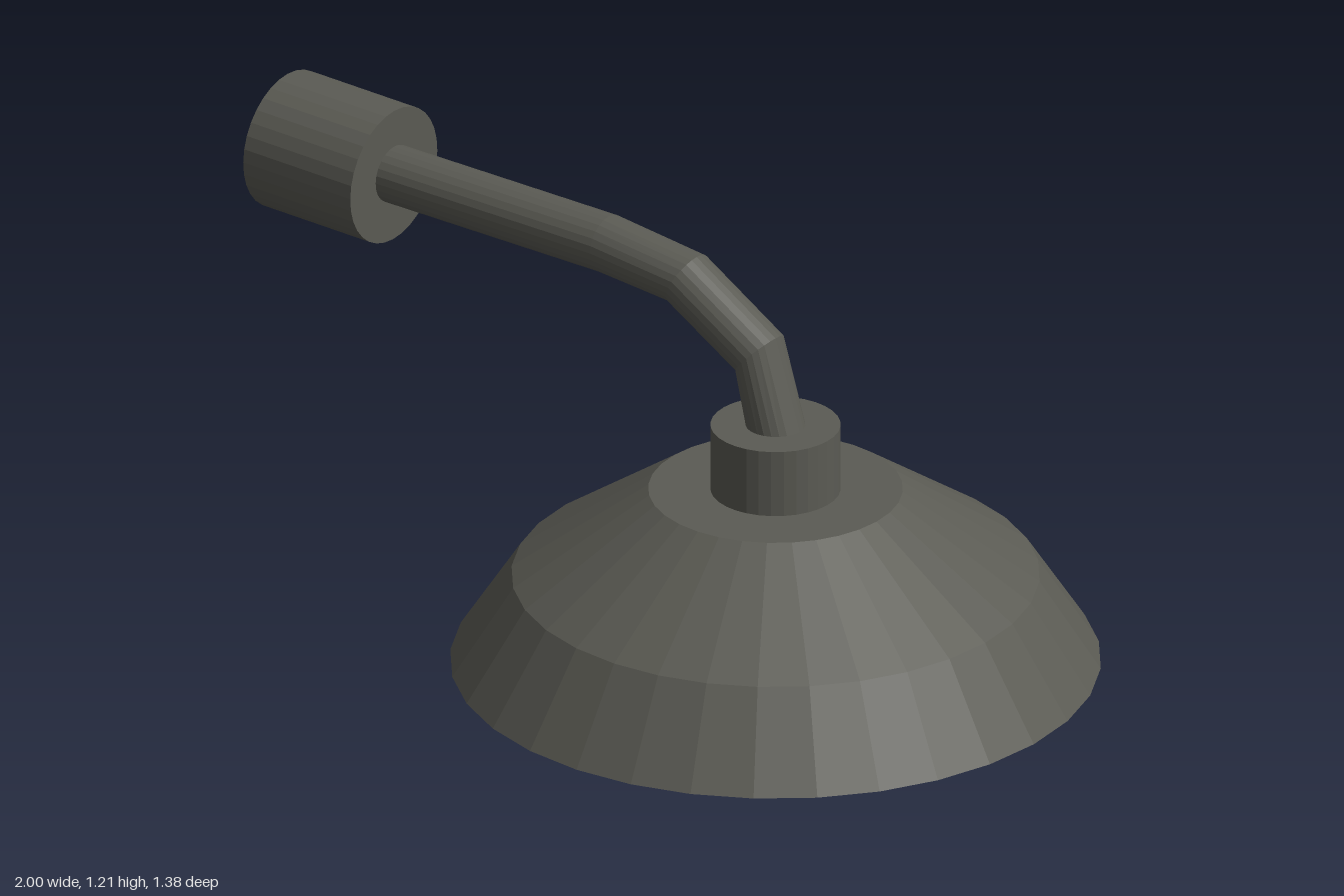
import * as THREE from 'three';

export function createModel() {
  const group = new THREE.Group();
  const metal = new THREE.MeshStandardMaterial({ color: 0x5b5b54, flatShading: true });
  metal.name = 'dark grey metal';
  const amber = new THREE.MeshStandardMaterial({ color: 0xb0834a, flatShading: true });
  amber.name = 'bright amber glass';
  const dimAmber = new THREE.MeshStandardMaterial({ color: 0x8c6c40, flatShading: true });
  dimAmber.name = 'dim amber glass';

  const add = (name, geometry, material, parent = group) => {
    const mesh = new THREE.Mesh(geometry, material);
    mesh.name = name;
    parent.add(mesh);
    return mesh;
  };
  const toPoints = (list) => list.map(([x, y]) => new THREE.Vector2(x, y));
  const lathe = (profile) => new THREE.LatheGeometry(toPoints(profile), 32);

  // Everything hanging below the arm shares one vertical axis
  const lamp = new THREE.Group();
  lamp.name = 'lampHead';
  lamp.position.x = 0.308;
  group.add(lamp);

  // Thick hollow shade: outside, then lining with the rim
  add('shade', lathe([[0.69, 0.222], [0.56, 0.422], [0.27, 0.622], [0, 0.622]]), metal, lamp);
  add('shadeLining', lathe([
    [0, 0.564], [0.252, 0.564], [0.517, 0.383], [0.622, 0.222], [0.69, 0.222],
  ]), metal, lamp);
  add('neck', new THREE.CylinderGeometry(0.138, 0.138, 0.17, 32), metal, lamp).position.y = 0.687;

  // Glass with a brighter band above its chamfered foot
  add('glassUpper', lathe([[0.207, 0.2], [0.207, 0.57]]), dimAmber, lamp);
  add('glassBand', lathe([[0.207, 0.122], [0.207, 0.2]]), amber, lamp);
  add('glassFoot', lathe([[0, 0.036], [0.13, 0.036], [0.207, 0.122]]), dimAmber, lamp);

  // Cage: two crossed U-shaped straps and a hoop
  const cage = new THREE.Group();
  cage.name = 'cage';
  cage.rotation.y = -0.1;
  lamp.add(cage);
  const outer = [[0.23, 0.57], [0.23, 0.1], [0.143, 0]];
  const inner = [[0.128, 0.035], [0.2, 0.115], [0.2, 0.57]];
  const mirror = (list) => list.map(([x, y]) => [-x, y]).reverse();
  const strap = new THREE.Shape(toPoints([...outer, ...mirror(outer), ...mirror(inner), ...inner]));
  const strapGeometry = new THREE.ExtrudeGeometry(strap, { depth: 0.042, bevelEnabled: false });
  strapGeometry.translate(0, 0, -0.021);
  for (let i = 0; i < 2; i++) {
    add('cageStrap', strapGeometry, metal, cage).rotation.y = i * Math.PI / 2;
  }
  add('cageHoop', lathe([
    [0.205, 0.325], [0.232, 0.325], [0.232, 0.365], [0.205, 0.365], [0.205, 0.325],
  ]), metal, cage);

  // Bent arm: each row of a cylinder becomes a ring at x, y, tilted down by an angle
  const rings = [
    [-0.73, 1.064, 0], [-0.14, 1.066, 0.02], [0.07, 1.046, 0.45], [0.265, 0.927, 0.75], [0.316, 0.74, 1.3],
  ];
  const arm = new THREE.CylinderGeometry(0.063, 0.063, 1, 24, rings.length - 1, true);
  const position = arm.attributes.position;
  for (let i = 0; i < position.count; i++) {
    const [x, y, tilt] = rings[Math.round((position.getY(i) + 0.5) * (rings.length - 1))];
    const across = position.getX(i);
    position.setXY(i, x - Math.sin(tilt) * across, y - Math.cos(tilt) * across);
  }
  arm.computeVertexNormals();
  add('arm', arm, metal);

  // Wall mount, very slightly tilted
  const mount = add('wallMount', new THREE.CylinderGeometry(0.151, 0.151, 0.286, 32), metal);
  mount.rotation.z = Math.PI / 2 - 0.012;
  mount.position.set(-0.855, 1.062, 0);

  return group;
}
